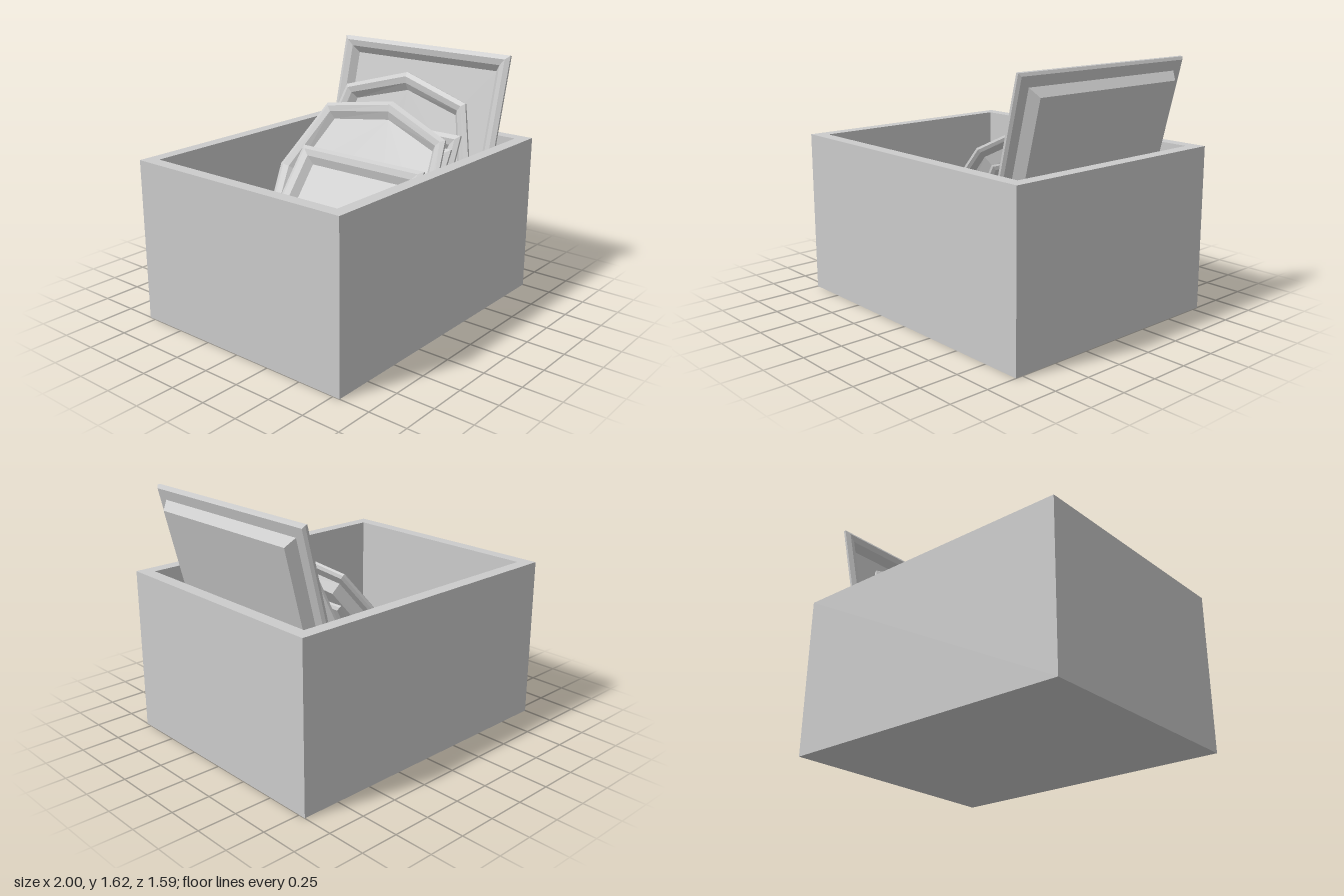
import * as THREE from 'three';

const material = new THREE.MeshStandardMaterial({ color: 0xcccccc, flatShading: true });

// Moulding cross-section from the back cap to the picture surface: [inset, depth]
const PROFILE = [
  [0.12, -0.09], [0.08, -0.03], [0.015, -0.03], [0, -0.015],
  [0, 0], [0.03, 0.015], [0.07, 0], [0.11, -0.045],
];

// Outline corners with the direction in which each moves when the outline is inset
function rectangle(halfWidth, halfHeight) {
  return [[1, 1], [-1, 1], [-1, -1], [1, -1]].map(([x, y]) => ({
    point: new THREE.Vector2(x * halfWidth, y * halfHeight),
    inset: new THREE.Vector2(x, y),
  }));
}

function octagon(radius, diagonalRadius, turn) {
  return Array.from({ length: 8 }, (_, i) => {
    const angle = Math.PI / 2 + i * Math.PI / 4 - turn;
    const inset = new THREE.Vector2(Math.cos(angle), Math.sin(angle));
    return {
      point: inset.clone().multiplyScalar(i % 2 ? diagonalRadius : radius),
      inset: inset.multiplyScalar(1.08),
    };
  });
}

// Loft the moulding around an outline and close it with a picture and a back board
function frameGeometry(outline) {
  const n = outline.length;
  const rings = PROFILE.map(([d, h]) => outline.map(({ point, inset }) =>
    new THREE.Vector3(point.x - inset.x * d, point.y - inset.y * d, h)));
  const points = [];
  for (let r = 0; r < rings.length - 1; r++) {
    for (let i = 0; i < n; i++) {
      const j = (i + 1) % n;
      const [a, b, c, d] = [rings[r][i], rings[r][j], rings[r + 1][j], rings[r + 1][i]];
      points.push(a, b, c, a, c, d);
    }
  }
  const back = rings[0];
  const front = rings[rings.length - 1];
  for (let i = 1; i < n - 1; i++) {
    points.push(back[0], back[i + 1], back[i], front[0], front[i], front[i + 1]);
  }
  const geometry = new THREE.BufferGeometry().setFromPoints(points);
  geometry.computeVertexNormals();
  return geometry;
}

function rectanglePath(target, halfX, halfZ) {
  target.moveTo(-halfX, -halfZ);
  target.lineTo(halfX, -halfZ);
  target.lineTo(halfX, halfZ);
  target.lineTo(-halfX, halfZ);
  target.closePath();
  return target;
}

export function createModel() {
  const model = new THREE.Group();
  model.name = 'crateOfFrames';

  // Open crate
  const wallShape = rectanglePath(new THREE.Shape(), 1, 0.797);
  wallShape.holes.push(rectanglePath(new THREE.Path(), 0.917, 0.714));
  const wallGeometry = new THREE.ExtrudeGeometry(wallShape, { depth: 1.06, bevelEnabled: false });
  wallGeometry.rotateX(-Math.PI / 2);
  const walls = new THREE.Mesh(wallGeometry, material);
  walls.name = 'crateWalls';
  const floor = new THREE.Mesh(new THREE.BoxGeometry(1.834, 0.08, 1.428), material);
  floor.name = 'crateFloor';
  floor.position.y = 0.04;
  model.add(walls, floor);

  // Frames leaning towards +x, each tilted more than the one behind it
  const frames = [
    ['largeFrame', rectangle(0.685, 0.79), 0.675, 0.85, -0.007, 14],
    ['rearOctagonalFrame', octagon(0.65, 0.71, 0), 0.54, 0.82, -0.04, 17],
    ['rearSmallFrame', rectangle(0.515, 0.55), 0.375, 0.6, -0.012, 22],
    ['middleSmallFrame', rectangle(0.515, 0.55), 0.215, 0.555, -0.012, 28],
    ['frontOctagonalFrame', octagon(0.66, 0.73, 0.1), 0.11, 0.745, -0.04, 34],
    ['frontSmallFrame', rectangle(0.505, 0.55), -0.155, 0.525, -0.007, 38],
  ];
  for (const [name, outline, x, y, z, tilt] of frames) {
    const frame = new THREE.Mesh(frameGeometry(outline), material);
    frame.name = name;
    frame.position.set(x, y, z);
    frame.rotation.set(0, -Math.PI / 2, -THREE.MathUtils.degToRad(tilt), 'ZYX');
    model.add(frame);
  }
  return model;
}
